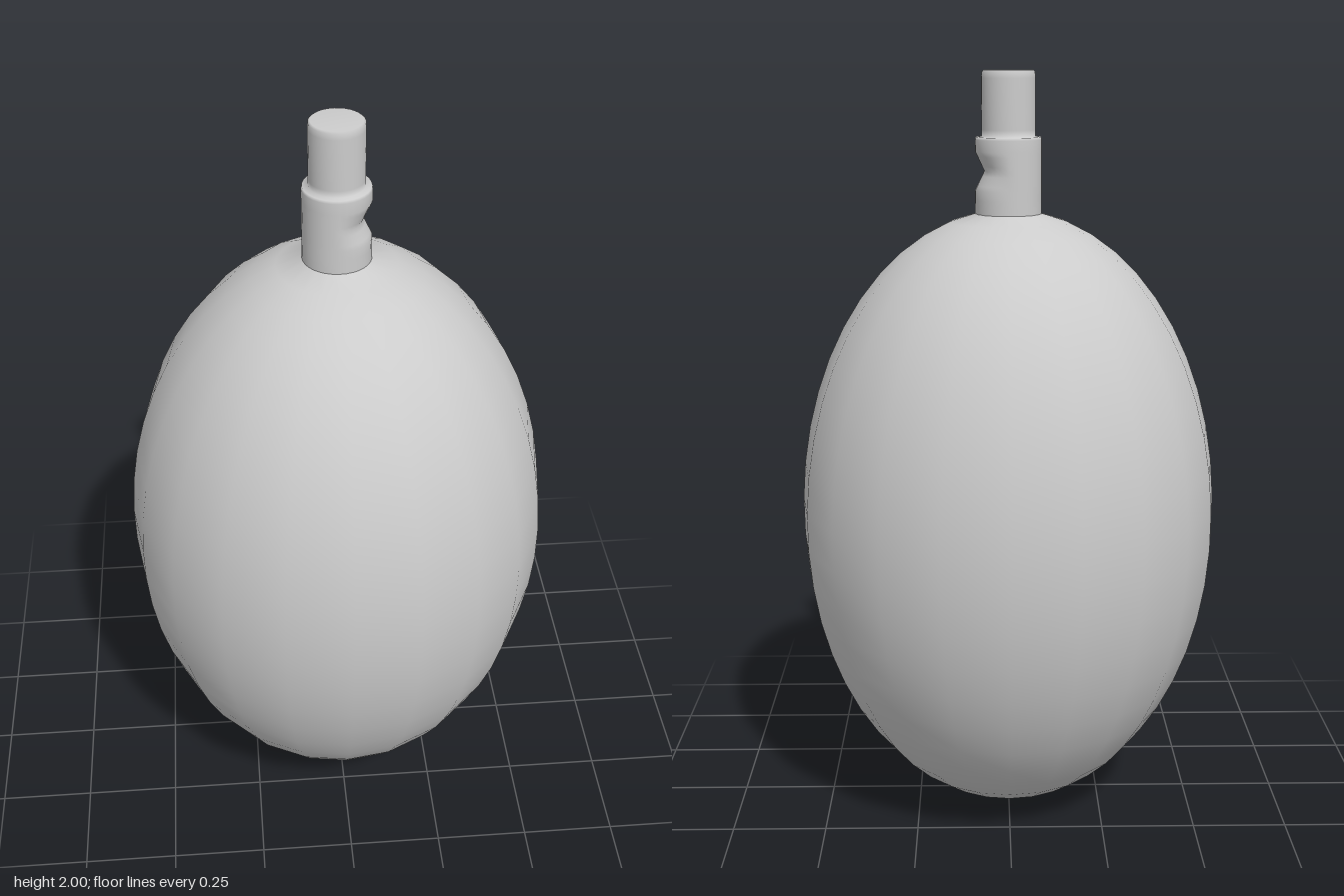
import * as THREE from 'three';
import { mergeVertices } from 'three/addons/utils/BufferGeometryUtils.js';

const material = new THREE.MeshStandardMaterial({ color: 0xcccccc });

// Revolved part with smooth normals and a welded seam; "shape" may move each vertex
function revolve(name, profile, sides, shape) {
  const points = profile.map(([r, y]) => new THREE.Vector2(r, y));
  let geometry = new THREE.LatheGeometry(points, sides);
  const p = geometry.attributes.position;
  if (shape) {
    const v = new THREE.Vector3();
    for (let i = 0; i < p.count; i++) {
      shape(v.fromBufferAttribute(p, i));
      p.setXYZ(i, v.x, v.y, v.z);
    }
  }
  geometry.deleteAttribute('uv');
  geometry.deleteAttribute('normal');
  geometry = mergeVertices(geometry, 1e-5);
  geometry.computeVertexNormals();
  const mesh = new THREE.Mesh(geometry, material);
  mesh.name = name;
  return mesh;
}

// Egg-shaped bulb, ending in a short collar inside the neck
function createBulb() {
  const radius = 0.56, half = 0.82, middle = 0.825, neck = 0.086;
  const end = Math.PI - Math.asin(neck / radius);
  const rings = 24;
  const profile = [];
  for (let i = 0; i <= rings; i++) {
    const a = (i / rings) * end;
    profile.push([radius * Math.sin(a), middle - half * Math.cos(a)]);
  }
  profile[0][1] = 0;
  profile.push([neck - 0.002, 1.67]);
  return revolve('bulb', profile, 20);
}

// Neck with a dent on its left side, stepping in to a narrow closed nozzle
function createValve() {
  const profile = [[0.087, 1.62], [0.087, 1.67]];
  for (let i = 0; i <= 8; i++) profile.push([0.087, 1.695 + i * 0.0125]);
  profile.push([0.087, 1.825], [0.085, 1.832], [0.07, 1.833],
    [0.07, 1.85], [0.07, 1.98], [0.069, 1.996], [0.064, 2], [0, 2]);
  return revolve('valve', profile, 32, (v) => {
    const depth = 1 - Math.abs(v.y - 1.745) / 0.05;
    const r = Math.hypot(v.x, v.z);
    if (depth <= 0 || v.x <= 0) return;
    const scale = 1 - (0.024 * depth * (v.x / r)) / r;
    v.x *= scale;
    v.z *= scale;
  });
}

export function createModel() {
  const model = new THREE.Group();
  model.name = 'squeezeBulb';
  model.add(createBulb(), createValve());
  return model;
}
